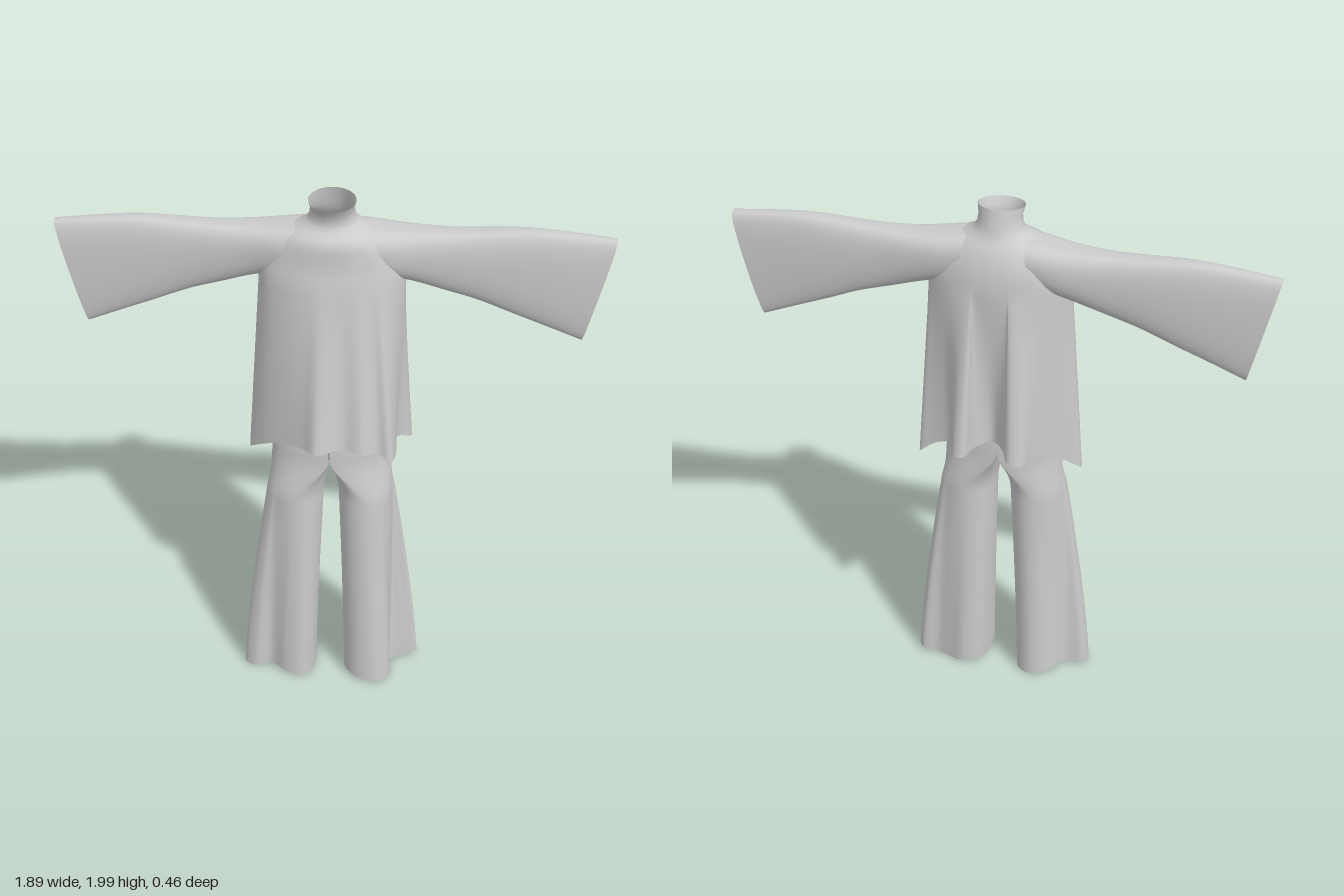
import * as THREE from 'three';

const V = (x, y, z) => new THREE.Vector3(x, y, z);
const { lerp, smoothstep } = THREE.MathUtils;
const cloth = new THREE.MeshStandardMaterial({ color: 0xcccccc, side: THREE.DoubleSide });

// Smooth closed ring through a few control points
const ring = (pts, n = 96) => new THREE.CatmullRomCurve3(pts, true, 'centripetal').getPoints(n).slice(0, n);

// Open skin over a stack of equal rings; skip(centre) leaves holes
function loft(name, rings, skip = () => false) {
  const n = rings[0].length, index = [];
  for (let r = 0; r < rings.length - 1; r++) {
    for (let i = 0; i < n; i++) {
      const j = (i + 1) % n;
      const mid = rings[r][i].clone().add(rings[r + 1][j]).multiplyScalar(0.5);
      if (skip(mid)) continue;
      const a = r * n + i, b = r * n + j, c = a + n, d = b + n;
      index.push(a, b, d, a, d, c);
    }
  }
  const g = new THREE.BufferGeometry().setFromPoints(rings.flat());
  g.setIndex(index);
  g.computeVertexNormals();
  const mesh = new THREE.Mesh(g, cloth);
  mesh.name = name;
  return mesh;
}

// Tunic: folded hem easing into a smooth chest, then shoulders and neck
function tunic() {
  const hem = [
    [-0.04, 0.225], [0.05, 0.185], [0.12, 0.2], [0.17, 0.165], [0.22, 0.175], [0.235, 0.1],
    [0.235, 0], [0.285, -0.08], [0.22, -0.1], [0.15, -0.13], [0.12, -0.22], [0.08, -0.23],
    [0.05, -0.15], [0, -0.11], [-0.05, -0.16], [-0.08, -0.225], [-0.13, -0.22], [-0.16, -0.13],
    [-0.24, -0.06], [-0.3, 0], [-0.25, 0.07], [-0.2, 0.11], [-0.14, 0.15], [-0.09, 0.185]];
  const angles = hem.map(([x, z]) => Math.atan2(x / 0.28, (z + 0.01) / 0.2));
  const oval = (t, a, back, front) => [a * Math.sin(t), (back + front) / 2 + (front - back) / 2 * Math.cos(t)];
  const rings = [];
  for (let k = 0; k < 16; k++) {
    const s = k / 16;
    rings.push(ring(hem.map(([x, z], i) => {
      const [cx, cz] = oval(angles[i], 0.25, -0.15, 0.122);
      return V(lerp(x, cx, s), lerp(1.11 - 4.6 * Math.abs(x) ** 3, 1.72, s), lerp(z, cz, s));
    })));
  }
  // height, half width, back z, front z
  const levels = [
    [1.72, 0.25, -0.15, 0.122], [1.75, 0.247, -0.148, 0.115], [1.78, 0.238, -0.145, 0.11],
    [1.81, 0.225, -0.14, 0.108], [1.84, 0.205, -0.13, 0.106], [1.865, 0.18, -0.12, 0.104],
    [1.88, 0.155, -0.11, 0.092], [1.895, 0.122, -0.1, 0.073], [1.91, 0.092, -0.092, 0.062],
    [1.93, 0.078, -0.085, 0.058], [1.96, 0.074, -0.078, 0.064], [1.99, 0.08, -0.07, 0.08]];
  for (const [y, a, back, front] of levels) {
    const tilt = y > 1.9 ? (y - 1.9) * 1.4 : 0;
    rings.push(ring(angles.map(t => {
      const [x, z] = oval(t, a, back, front);
      return V(x, y - tilt * z, z);
    })));
  }
  // Armholes open into the sleeves
  return loft('tunicBody', rings, p =>
    Math.abs(p.x) > 0.16 && p.y > 1.75 && p.y < 1.86 && p.z > -0.09 && p.z < 0.035);
}

// Wide flat sleeve with a slanted cuff
function sleeve(name, side) {
  // top x, top y, bottom x, bottom y, back z, front z
  const stations = [
    [0.1, 1.896, 0.13, 1.735, -0.122, 0.08], [0.18, 1.886, 0.19, 1.715, -0.122, 0.07],
    [0.27, 1.878, 0.27, 1.692, -0.113, 0.047], [0.4, 1.875, 0.38, 1.655, -0.1, 0.03],
    [0.52, 1.88, 0.49, 1.62, -0.095, 0.022], [0.66, 1.886, 0.61, 1.57, -0.09, 0.016],
    [0.8, 1.876, 0.735, 1.52, -0.083, 0.01], [0.945, 1.86, 0.857, 1.47, -0.076, 0.003]];
  const soft = (v, p) => Math.sign(v) * Math.abs(v) ** p;
  const rows = [];
  for (let i = 0; i < 48; i++) {
    const t = i / 48 * Math.PI * 2;
    const v = (1 - soft(Math.cos(t), 0.9)) / 2, w = soft(Math.sin(t), 0.6);
    const path = new THREE.CatmullRomCurve3(stations.map(([tx, ty, bx, by, b, f]) =>
      V(side * lerp(tx, bx, v), lerp(ty, by, v), (b + f) / 2 + w * (f - b) / 2 * (1 - 0.15 * v))));
    rows.push(path.getPoints(28));
  }
  const rings = rows[0].map((_, k) => rows.map(row => row[k]));
  if (side > 0) rings.forEach(r => r.reverse());
  return loft(name, rings);
}

// Trouser half: folded hem, smooth thigh, then half of the seat open at the middle
function leg(name, side, hem) {
  const heights = [];
  for (let y = 0; y < 0.85; y += 0.06) heights.push(y);
  for (let y = 0.85; y < 1.07; y += 0.02) heights.push(y);
  heights.push(1.12, 1.18, 1.25, 1.32);
  const outline = ring(hem.map(([x, z]) => V(x, 0, z)));
  const rings = heights.map(y => outline.map(p => {
    const t = Math.atan2((p.x - side * 0.18) / 0.14, (p.z - 0.05) / 0.12);
    const out = side * Math.sin(t), c = Math.cos(t);
    const s = Math.min(1, y / 0.92) ** 1.3;
    const x = lerp(side * p.x, 0.124 + 0.1 * out, s);
    const z = lerp(p.z, 0.042 + 0.104 * c, s);
    const join = smoothstep(y, 0.84, 1.03);
    const taper = 1 - 0.2 * smoothstep(y, 1.05, 1.32);
    const base = y === 0 ? 0.013 + 0.008 * Math.sin(p.x * 22) : y;
    return V(side * lerp(x, 0.214 * Math.max(0, out) * taper, join), base,
      lerp(z, 0.036 + 0.104 * c * taper, join));
  }));
  return loft(name, rings, p => p.y > 1 && Math.abs(p.x) < 0.002);
}

export function createModel() {
  const top = new THREE.Group();
  top.name = 'tunic';
  top.add(tunic(), sleeve('leftSleeve', 1), sleeve('rightSleeve', -1));

  const leftHem = [[0.055, 0.03], [0.06, 0.12], [0.11, 0.17], [0.18, 0.177], [0.23, 0.13], [0.228, 0.045],
    [0.28, 0.022], [0.333, 0], [0.31, -0.04], [0.25, -0.035], [0.2, -0.05], [0.14, -0.07], [0.08, -0.05]];
  const rightHem = [[-0.08, -0.04], [-0.13, -0.07], [-0.18, -0.06], [-0.22, -0.02], [-0.25, 0.03], [-0.32, 0.05],
    [-0.333, 0.095], [-0.29, 0.125], [-0.23, 0.115], [-0.17, 0.155], [-0.11, 0.165], [-0.07, 0.12], [-0.06, 0.03]];
  const trousers = new THREE.Group();
  trousers.name = 'trousers';
  trousers.add(leg('leftLeg', 1, leftHem), leg('rightLeg', -1, rightHem));

  const model = new THREE.Group();
  model.name = 'outfit';
  model.add(top, trousers);
  return model;
}
